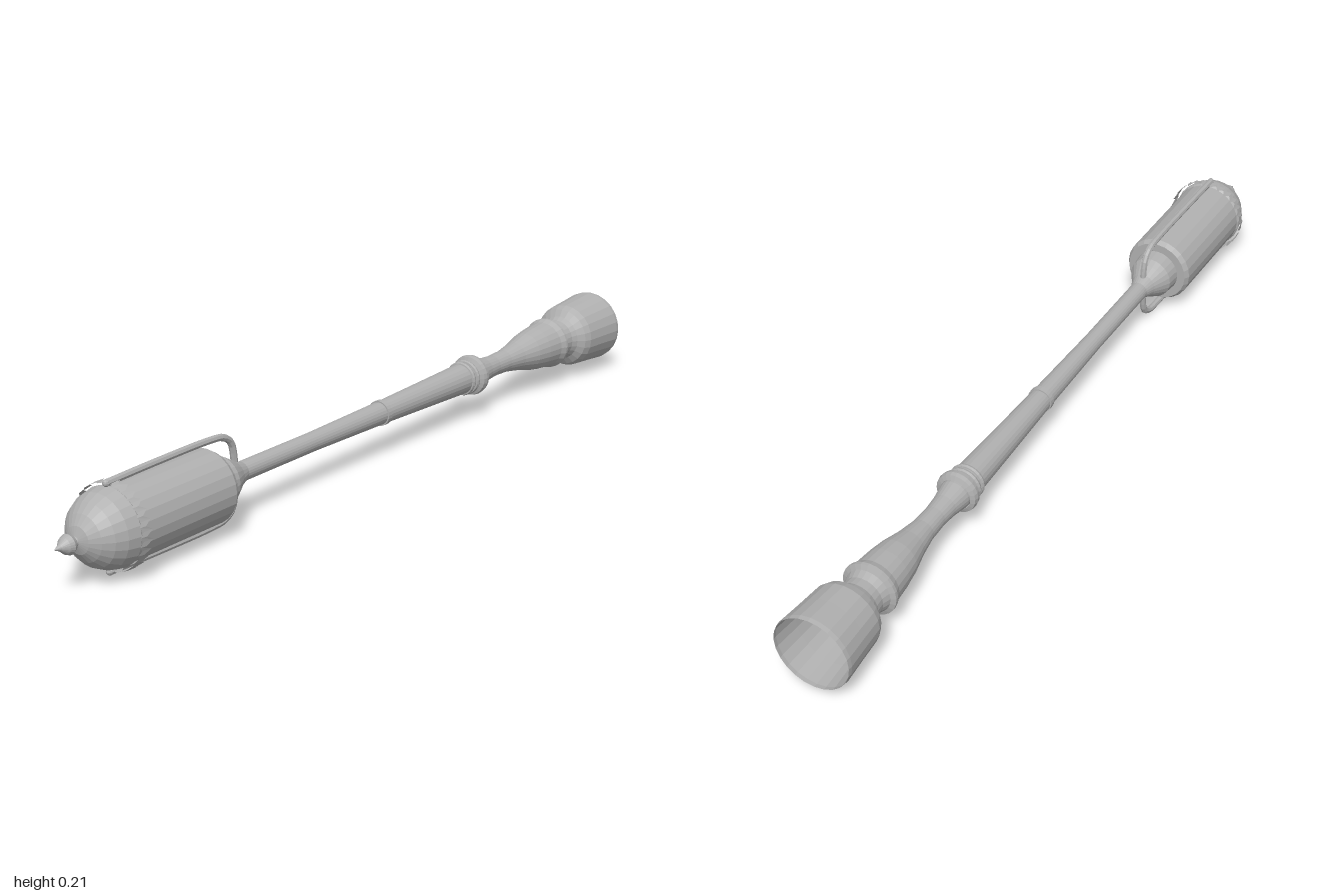
import * as THREE from 'three';

const SIDES = 24;
const AXIS_Y = 0.105;

export function createModel() {
  const grey = new THREE.MeshStandardMaterial({ color: 0xb0b0b0, flatShading: true, side: THREE.DoubleSide });
  grey.name = 'plain grey';

  const model = new THREE.Group();
  model.name = 'turnedPipe';
  model.position.y = AXIS_Y;

  const add = (name, geometry) => {
    const mesh = new THREE.Mesh(geometry, grey);
    mesh.name = name;
    model.add(mesh);
    return mesh;
  };

  // Turned part around the x axis from [x, radius] pairs
  const turned = (name, profile) => {
    const geometry = new THREE.LatheGeometry(profile.map(([x, r]) => new THREE.Vector2(r, x)), SIDES);
    geometry.rotateZ(-Math.PI / 2);
    return add(name, geometry);
  };

  // Pointed finial
  turned('finial', [[-1, 0], [-0.985, 0.007], [-0.972, 0.018], [-0.962, 0.022], [-0.952, 0.017],
    [-0.945, 0.009], [-0.935, 0.012]]);

  // Domed cap
  turned('domeCap', [[-0.942, 0.01], [-0.935, 0.03], [-0.92, 0.051], [-0.9, 0.069], [-0.875, 0.081], [-0.845, 0.087]]);

  // Cylindrical bowl with shoulder stepping down to the stem
  turned('bowl', [[-0.845, 0.087], [-0.84, 0.083], [-0.552, 0.083], [-0.54, 0.076], [-0.54, 0.056],
    [-0.505, 0.053], [-0.488, 0.044], [-0.465, 0.031], [-0.44, 0.022]]);

  // Long, gently widening stem
  turned('stem', [[-0.44, 0.022], [-0.2, 0.022], [0.06, 0.027], [0.39, 0.037]]);

  // Joint ring halfway along the stem
  turned('jointRing', [[0.053, 0.026], [0.053, 0.03], [0.067, 0.03], [0.067, 0.026]]);

  // Row of beads
  for (const [x, r, half] of [[0.392, 0.042, 0.007], [0.409, 0.043, 0.007], [0.433, 0.05, 0.014]]) {
    turned('bead', [[x - half, r - 0.012], [x - half * 0.7, r - 0.002], [x, r], [x + half * 0.7, r - 0.002], [x + half, r - 0.012]]);
  }

  // Swelling baluster
  turned('baluster', [[0.39, 0.037], [0.45, 0.036], [0.49, 0.029], [0.53, 0.026], [0.58, 0.028], [0.63, 0.036],
    [0.68, 0.048], [0.72, 0.054], [0.765, 0.058], [0.78, 0.064], [0.787, 0.064], [0.792, 0.053]]);

  // Neck and open cup
  turned('cup', [[0.792, 0.053], [0.81, 0.047], [0.832, 0.049], [0.846, 0.056], [0.858, 0.073],
    [0.875, 0.08], [0.93, 0.084], [0.99, 0.089], [1, 0.088]]);

  // Toothed crown band standing clear of the bowl
  const teeth = 28;
  const band = new THREE.CylinderGeometry(0.0945, 0.0925, 0.02, teeth * 2, 1, true);
  const p = band.attributes.position;
  for (let i = 0; i <= teeth * 2; i++) {
    p.setY(i, i % 2 ? 0.017 : 0.0);
    p.setY(i + teeth * 2 + 1, i % 2 ? -0.008 : -0.016);
  }
  band.rotateZ(-Math.PI / 2);
  add('crownBand', band).position.x = -0.838;

  // Mirrored bracket handles running along the bowl and curving in to the stem
  for (const side of [1, -1]) {
    const path = new THREE.CatmullRomCurve3([
      [-0.85, 0.094], [-0.7, 0.097], [-0.54, 0.097], [-0.5, 0.093], [-0.474, 0.077], [-0.465, 0.05], [-0.462, 0.02],
    ].map(([x, y]) => new THREE.Vector3(x, y * side, 0)), false, 'centripetal');
    add(side > 0 ? 'upperHandle' : 'lowerHandle', new THREE.TubeGeometry(path, 28, 0.008, 8));

    // Rounded tip closing the free end
    add('handleTip', new THREE.SphereGeometry(0.008, 8, 6)).position.set(-0.85, 0.094 * side, 0);
  }

  return model;
}
